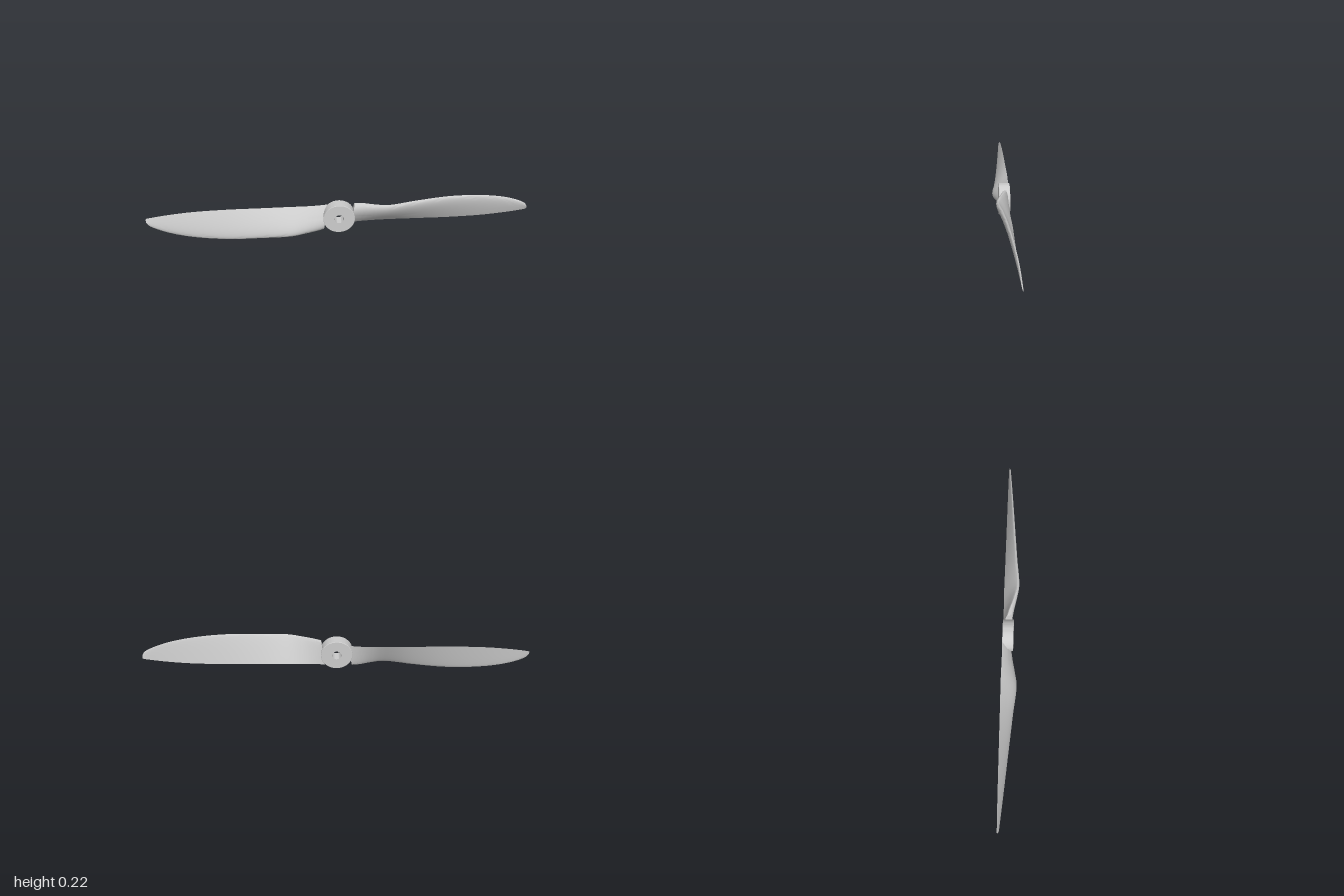
import * as THREE from 'three';
import { toCreasedNormals } from 'three/addons/utils/BufferGeometryUtils.js';

const material = new THREE.MeshStandardMaterial({ color: 0xcccccc });
const AXIS_Y = 0.11; // height of the spin axis

// Blade stations, y measured from the spin axis:
// leading edge x, y, z | trailing edge x, y, z | thickness
const stations = [
  [0.08, 0.077, -0.014, 0.06, -0.058, -0.036, 0.036],
  [0.12, 0.082, -0.002, 0.11, -0.053, -0.037, 0.034],
  [0.18, 0.084, 0.018, 0.18, -0.05, -0.038, 0.03],
  [0.25, 0.087, 0.034, 0.25, -0.049, -0.039, 0.026],
  [0.40, 0.100, 0.020, 0.40, -0.048, -0.038, 0.022],
  [0.58, 0.110, 0.004, 0.58, -0.047, -0.037, 0.018],
  [0.75, 0.100, -0.010, 0.76, -0.040, -0.036, 0.014],
  [0.87, 0.078, -0.020, 0.89, -0.027, -0.035, 0.011],
  [0.95, 0.050, -0.026, 0.97, -0.015, -0.034, 0.008],
  [0.985, 0.030, -0.028, 0.997, -0.009, -0.034, 0.006],
  [0.998, 0.012, -0.030, 1.0, -0.005, -0.033, 0.004],
];

// Aerofoil half thickness along the chord, peak about 1
const foil = (u) => 10 * (0.2969 * Math.sqrt(u) - 0.126 * u - 0.3516 * u ** 2 + 0.2843 * u ** 3 - 0.1036 * u ** 4);

function bladeGeometry() {
  const curve = (pick) => new THREE.CatmullRomCurve3(stations.map(pick));
  const lead = curve((s) => new THREE.Vector3(s[0], s[1], s[2]));
  const trail = curve((s) => new THREE.Vector3(s[3], s[4], s[5]));
  const thick = curve((s) => new THREE.Vector3(s[0], s[6], 0));
  const rings = 80, half = 16, n = half * 2;
  const pos = [], index = [];

  for (let i = 0; i <= rings; i++) {
    const t = i / rings;
    const a = lead.getPoint(t), b = trail.getPoint(t), h = thick.getPoint(t).y;
    const dy = b.y - a.y, dz = b.z - a.z, len = Math.hypot(dy, dz);
    for (let j = 0; j < n; j++) {
      // round the loop: leading edge, front face, trailing edge, back face
      const u = (1 - Math.cos((j / half) * Math.PI)) / 2;
      const off = foil(u) * h * (j <= half ? 0.85 : -0.15);
      const p = a.clone().lerp(b, u);
      pos.push(p.x, p.y + (dz / len) * off, p.z - (dy / len) * off);
    }
  }
  for (let i = 0; i < rings; i++) {
    for (let j = 0; j < n; j++) {
      const k = (j + 1) % n, r = i * n, s = r + n;
      index.push(r + j, r + k, s + j, r + k, s + k, s + j);
    }
  }
  // root and tip caps
  const tip = rings * n;
  for (let j = 1; j < n - 1; j++) {
    index.push(0, j + 1, j, tip, tip + j, tip + j + 1);
  }
  const geo = new THREE.BufferGeometry();
  geo.setAttribute('position', new THREE.Float32BufferAttribute(pos, 3));
  geo.setIndex(index);
  return toCreasedNormals(geo, 0.8);
}

// Round hub with a shaft bore
function hubGeometry() {
  const profile = [
    [0.024, -0.038], [0.08, -0.038], [0.082, -0.036], [0.082, 0.017], [0.08, 0.019], [0.024, 0.019], [0.024, -0.038],
  ].map(([r, z]) => new THREE.Vector2(r, z));
  return toCreasedNormals(new THREE.LatheGeometry(profile, 64).rotateX(Math.PI / 2), 0.5);
}

export function createModel() {
  const model = new THREE.Group();
  model.name = 'propeller';

  const hub = new THREE.Mesh(hubGeometry(), material);
  hub.name = 'hub';
  hub.position.y = AXIS_Y;
  model.add(hub);

  // two identical blades, half a turn apart
  const blade = bladeGeometry();
  ['leftBlade', 'rightBlade'].forEach((name, i) => {
    const mesh = new THREE.Mesh(blade, material);
    mesh.name = name;
    mesh.position.y = AXIS_Y;
    mesh.rotation.z = i * Math.PI;
    model.add(mesh);
  });
  return model;
}
